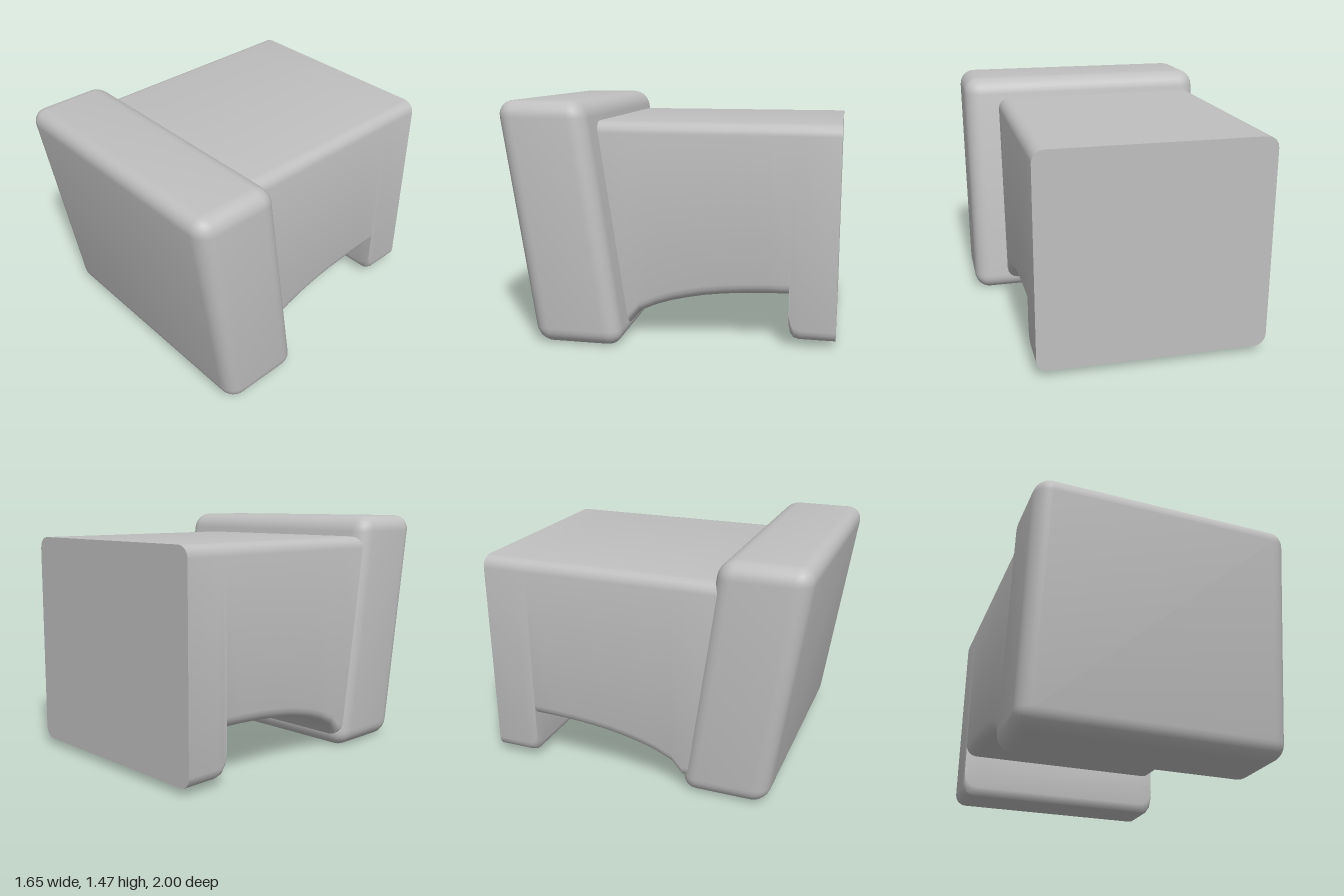
import * as THREE from 'three';
import { RoundedBoxGeometry } from 'three/addons/geometries/RoundedBoxGeometry.js';
import { toCreasedNormals } from 'three/addons/utils/BufferGeometryUtils.js';

const LEFT = 0.6, RIGHT = -0.8, TOP = 1.34, ARC = 4;

// Rounded rectangle at depth z, counter-clockwise seen from the front
function section(z, bottom, rBottom, rTop = 0.07) {
  const pts = [];
  const corner = (cx, cy, r, start) => {
    for (let i = 0; i <= ARC; i++) {
      const a = start + (i / ARC) * Math.PI / 2;
      pts.push([cx + r * Math.cos(a), cy + r * Math.sin(a), z]);
    }
  };
  corner(RIGHT + rBottom, bottom + rBottom, rBottom, Math.PI);
  corner(LEFT - rBottom, bottom + rBottom, rBottom, Math.PI * 1.5);
  corner(LEFT - rTop, TOP - rTop, rTop, 0);
  corner(RIGHT + rTop, TOP - rTop, rTop, Math.PI / 2);
  return pts;
}

// Skin a row of sections and close both ends
function loft(rings) {
  const n = rings[0].length, index = [];
  for (let i = 0; i < rings.length - 1; i++) {
    for (let j = 0; j < n; j++) {
      const a = i * n + j, b = i * n + (j + 1) % n, c = a + n, d = b + n;
      index.push(a, c, b, b, c, d);
    }
  }
  const last = (rings.length - 1) * n;
  for (let j = 1; j < n - 1; j++) {
    index.push(0, j, j + 1, last, last + j + 1, last + j);
  }
  const geo = new THREE.BufferGeometry();
  geo.setAttribute('position', new THREE.Float32BufferAttribute(rings.flat(2), 3));
  geo.setIndex(index);
  return toCreasedNormals(geo, 0.6);
}

export function createModel() {
  const group = new THREE.Group();
  const grey = new THREE.MeshStandardMaterial({ color: 0xbfbfbf });
  grey.name = 'grey';

  // Leaning front slab: a rounded box sheared forward towards the top
  const slabGeo = new RoundedBoxGeometry(1.65, 1.47, 0.54, 4, 0.1);
  slabGeo.applyMatrix4(new THREE.Matrix4().set(
    1, 0, 0, 0,
    0, 1, 0, 0.735,
    0, 0.148, 1, 0.635,
    0, 0, 0, 1));
  const slab = new THREE.Mesh(toCreasedNormals(slabGeo, 0.6), grey);
  slab.name = 'frontSlab';
  group.add(slab);

  // Offset block: [z, underside height, lower edge radius]
  const profile = [
    [0.5, 0.08, 0.07], [0.27, 0.08, 0.07], [0.2, 0.16, 0.07],
    [0.1, 0.205, 0.07], [0, 0.238, 0.07], [-0.1, 0.262, 0.07],
    [-0.2, 0.282, 0.07], [-0.32, 0.298, 0.07], [-0.45, 0.31, 0.07],
    [-0.58, 0.317, 0.07], [-0.72, 0.32, 0.07],
    // Rear foot with a rounded front edge
    [-0.72, 0.1, 0.1], [-0.728, 0.07, 0.09], [-0.748, 0.048, 0.075],
    [-0.785, 0.04, 0.07], [-1, 0.04, 0.07],
  ];
  const block = new THREE.Mesh(loft(profile.map((p) => section(...p))), grey);
  block.name = 'rearBlock';
  group.add(block);

  return group;
}
